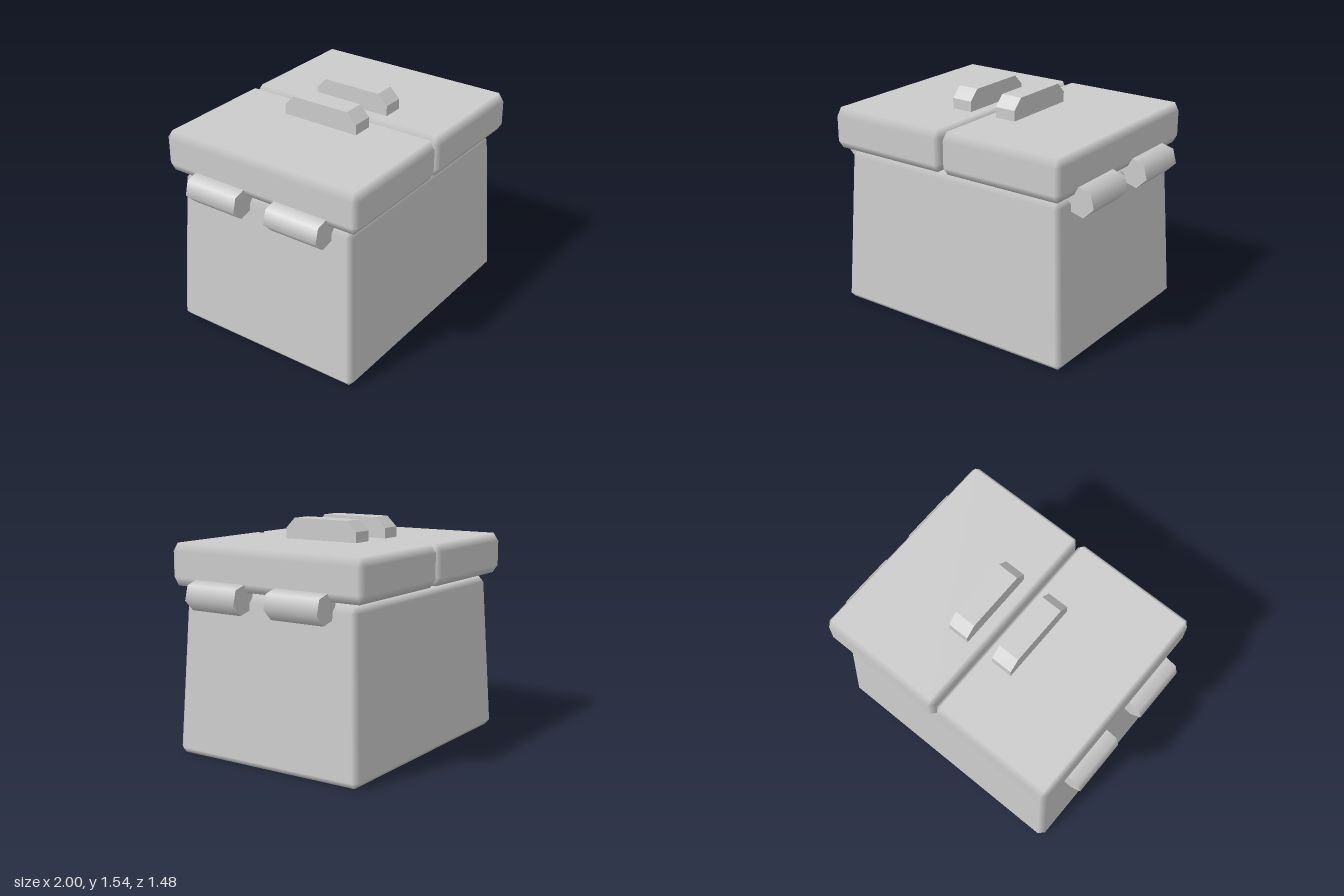
import * as THREE from 'three';

const grey = new THREE.MeshStandardMaterial({ color: 0xcccccc });
const greyFlat = new THREE.MeshStandardMaterial({ color: 0xcccccc, flatShading: true });

// Box from lo to hi with one-step bevels whose normals blend between the flat faces.
// taper narrows x and z towards the top.
function bevelledBox(lo, hi, bevel, taper = 0) {
  const mid = lo.map((v, i) => (v + hi[i]) / 2);
  const half = lo.map((v, i) => (hi[i] - v) / 2);
  const height = hi[1] - lo[1];
  const pos = [], nor = [], index = [];
  const signs = c => [0, 1, 2].map(i => (c >> i & 1 ? 1 : -1));

  // three vertices per corner, one on each adjoining face
  for (let c = 0; c < 8; c++) {
    const s = signs(c);
    for (let a = 0; a < 3; a++) {
      const p = s.map((sg, i) => mid[i] + sg * (half[i] - (i === a ? 0 : bevel[i])));
      const k = 1 - taper * (p[1] - lo[1]) / height;
      pos.push(mid[0] + (p[0] - mid[0]) * k, p[1], mid[2] + (p[2] - mid[2]) * k);
      const n = new THREE.Vector3().setComponent(a, s[a]);
      if (a !== 1) n.y = taper * half[a] / height;
      nor.push(...n.normalize().toArray());
    }
  }

  // add a triangle, turned to face away from the centre
  const centre = new THREE.Vector3(...mid);
  const tri = (...ids) => {
    const [A, B, C] = ids.map(i => new THREE.Vector3().fromArray(pos, i * 3).sub(centre));
    const n = B.clone().sub(A).cross(C.clone().sub(A));
    index.push(...(n.dot(A) < 0 ? [ids[0], ids[2], ids[1]] : ids));
  };
  const quad = (a, b, c, d) => { tri(a, b, c); tri(a, c, d); };

  for (let c = 0; c < 8; c++) {
    tri(c * 3, c * 3 + 1, c * 3 + 2);
    for (let k = 0; k < 3; k++) {
      const a = (k + 1) % 3, b = (k + 2) % 3;
      if (c & (1 << k)) continue;
      const e = c | (1 << k);
      quad(c * 3 + a, e * 3 + a, e * 3 + b, c * 3 + b); // bevel strip along axis k
    }
  }
  for (let a = 0; a < 3; a++) {
    const u = 1 << (a + 1) % 3, v = 1 << (a + 2) % 3;
    for (const c of [0, 1 << a]) quad(...[c, c | u, c | u | v, c | v].map(i => i * 3 + a));
  }

  const g = new THREE.BufferGeometry();
  g.setAttribute('position', new THREE.Float32BufferAttribute(pos, 3));
  g.setAttribute('normal', new THREE.Float32BufferAttribute(nor, 3));
  g.setIndex(index);
  return g;
}

export function createModel() {
  const group = new THREE.Group();
  const add = (name, geometry, material = grey) => {
    const mesh = new THREE.Mesh(geometry, material);
    mesh.name = name;
    group.add(mesh);
    return mesh;
  };

  // tapered chest
  add('body', bevelledBox([-0.9, 0, -0.71], [0.9, 1.095, 0.71], [0.035, 0.04, 0.038], 0.07));

  // two lid halves with a narrow gap between them
  add('leftLid', bevelledBox([0.005, 1.12, -0.742], [0.89, 1.4, 0.74], [0.03, 0.055, 0.038]));
  add('rightLid', bevelledBox([-0.895, 1.12, -0.742], [-0.013, 1.4, 0.74], [0.03, 0.055, 0.038]));

  // faceted grip profile, seen from the side
  const profile = [[-0.285, 1.38], [-0.285, 1.47], [-0.215, 1.54], [0.203, 1.54], [0.275, 1.47], [0.275, 1.38]];
  const grip = new THREE.ExtrudeGeometry(
    new THREE.Shape(profile.map(p => new THREE.Vector2(...p))), { depth: 0.148, bevelEnabled: false });
  grip.rotateY(Math.PI / 2).translate(-0.074, 0, 0);

  for (const side of [1, -1]) {
    const label = side > 0 ? 'left' : 'right';
    add(label + 'Handle', grip, greyFlat).position.x = side * 0.175;

    // six-sided hinge barrels, turned 15 degrees
    for (const [end, z] of [['Front', 0.328], ['Back', -0.3]]) {
      const barrel = new THREE.CylinderGeometry(0.1, 0.1, 0.393, 6);
      barrel.rotateX(Math.PI / 2).rotateZ(side * Math.PI / 12);
      add(label + end + 'Hinge', barrel).position.set(side * 0.903, 1.08, z);
    }
  }
  return group;
}
